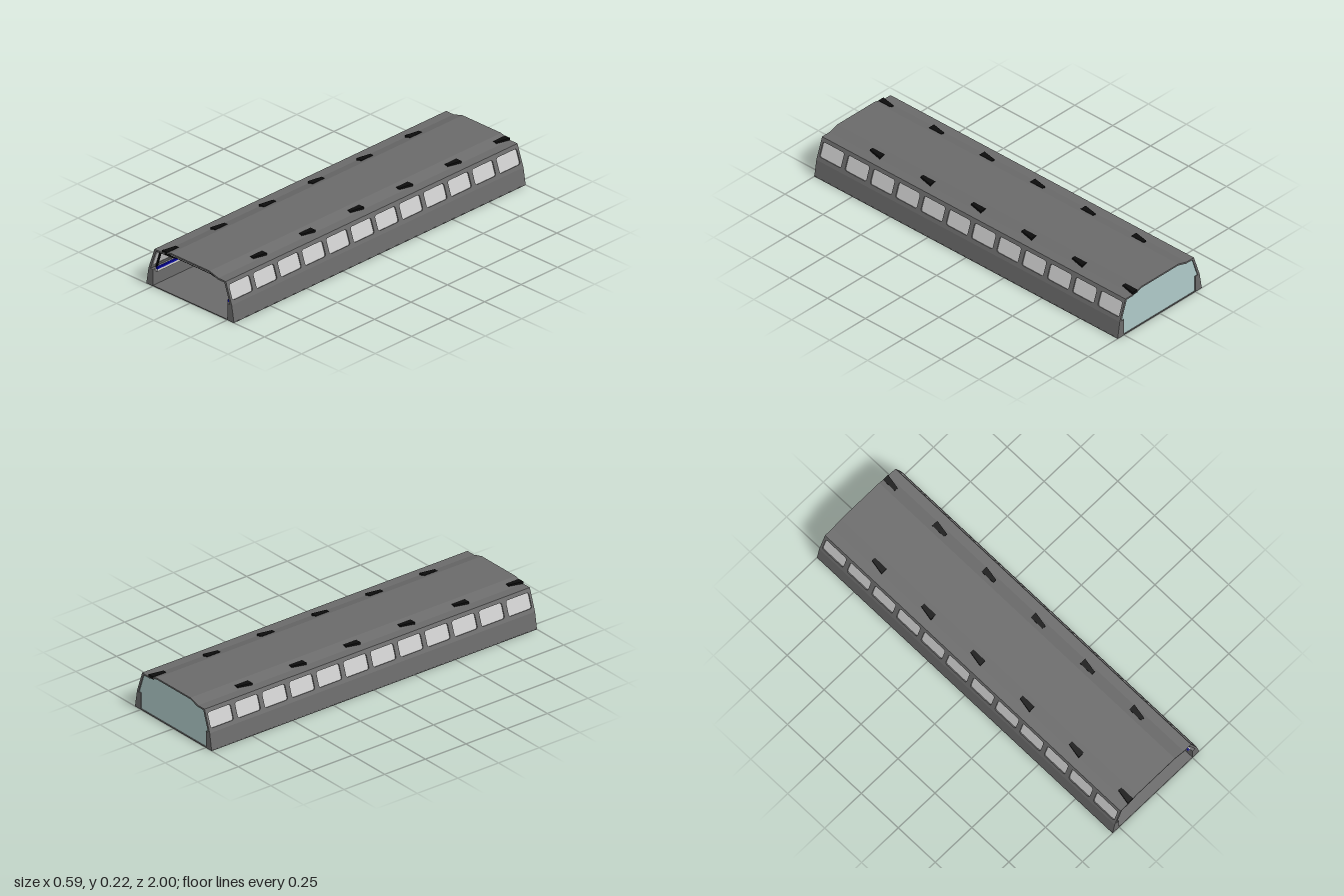
import * as THREE from 'three';

const mat = (name, color, side = THREE.FrontSide) => {
  const m = new THREE.MeshStandardMaterial({ color, side });
  m.name = name;
  return m;
};

export function createModel() {
  const shellGrey = mat('shell grey', 0x6a6a6a);
  const lightGrey = mat('light grey', 0xcacaca);
  const teal = mat('pale teal', 0xaecac8);
  const black = mat('black', 0x0c0c0c);
  const blue = mat('deep blue', 0x0a0aa8);
  const slate = mat('slate', 0x3c404c);
  const ochre = mat('ochre', 0x8a7434);

  const model = new THREE.Group();
  model.name = 'hall';

  const add = (parent, name, geo, material) => {
    const m = new THREE.Mesh(geo, material);
    m.name = name;
    parent.add(m);
    return m;
  };
  const box = (parent, name, material, x0, x1, y0, y1, z0, z1) => {
    const m = add(parent, name, new THREE.BoxGeometry(x1 - x0, y1 - y0, z1 - z0), material);
    m.position.set((x0 + x1) / 2, (y0 + y1) / 2, (z0 + z1) / 2);
    return m;
  };
  const poly = (pts) => new THREE.Shape(pts.map((p) => new THREE.Vector2(p[0], p[1])));
  const prism = (shape, z0, z1) => {
    const g = new THREE.ExtrudeGeometry(shape, { depth: z1 - z0, bevelEnabled: false });
    return g.translate(0, 0, z0);
  };
  // Straight square bar between two points in a plane of constant z
  const bar = (parent, name, material, a, b, z, w = 0.006) => {
    const dx = b[0] - a[0], dy = b[1] - a[1];
    const m = add(parent, name, new THREE.BoxGeometry(Math.hypot(dx, dy), w, w), material);
    m.position.set((a[0] + b[0]) / 2, (a[1] + b[1]) / 2, z);
    m.rotation.z = Math.atan2(dy, dx);
  };
  const roundedRect = (x0, x1, y0, y1, r, Type) => {
    const s = new Type();
    s.moveTo(x0 + r, y0);
    s.lineTo(x1 - r, y0);
    s.quadraticCurveTo(x1, y0, x1, y0 + r);
    s.lineTo(x1, y1 - r);
    s.quadraticCurveTo(x1, y1, x1 - r, y1);
    s.lineTo(x0 + r, y1);
    s.quadraticCurveTo(x0, y1, x0, y1 - r);
    s.lineTo(x0, y0 + r);
    s.quadraticCurveTo(x0, y0, x0 + r, y0);
    return s;
  };

  // Floor and roof
  box(model, 'floor', shellGrey, -0.295, 0.295, 0, 0.004, -1, 1);
  const top = [[0.24, 0.205], [0.19, 0.205], [0.13, 0.222]];
  const under = [[0.13, 0.214], [0.185, 0.197], [0.23, 0.196]];
  const flip = (pts) => pts.map(([x, y]) => [-x, y]).reverse();
  add(model, 'roof', prism(poly([...top, ...flip(top), ...flip(under), ...under]), -1, 1), shellGrey);

  // Closed rear end
  const end = [[0.285, 0.004], [0.271, 0.09], [0.232, 0.199], [0.187, 0.2], [0.13, 0.216]];
  add(model, 'rearWall', prism(poly([...end, ...flip(end)]), -0.995, -0.988), teal);

  // One long side; the other is the same side turned half round
  const slope = Math.hypot(0.04, 0.115);
  const makeSide = () => {
    const side = new THREE.Group();
    side.name = 'longSide';
    add(side, 'lowerWall', prism(poly([[0.25, 0], [0.295, 0], [0.28, 0.09], [0.25, 0.09]]), -1, 1), shellGrey);

    // Sloping upper wall with window openings
    const wall = new THREE.Group();
    wall.name = 'upperWall';
    const basis = new THREE.Matrix4().makeBasis(
      new THREE.Vector3(0, 0, -1),
      new THREE.Vector3(-0.04 / slope, 0.115 / slope, 0),
      new THREE.Vector3(0.115 / slope, 0.04 / slope, 0)
    );
    wall.quaternion.setFromRotationMatrix(basis);
    wall.position.set(0.28, 0.09, 0);
    const sheet = poly([[-1, 0], [1, 0], [1, slope], [-1, slope]]);
    for (let i = 0; i < 12; i++) {
      const c = -1 + (i + 0.5) / 6;
      sheet.holes.push(roundedRect(c - 0.07, c + 0.07, 0.021, 0.101, 0.014, THREE.Path));
      const pane = roundedRect(c - 0.072, c + 0.072, 0.019, 0.103, 0.014, THREE.Shape);
      add(wall, 'windowPane', prism(pane, -0.01, -0.006), lightGrey);
    }
    add(wall, 'windowWall', prism(sheet, -0.012, 0), shellGrey);
    side.add(wall);

    // Roof vents
    for (let i = 0; i < 6; i++) {
      const g = prism(poly([[0.155, 0.04], [0.155, -0.04], [0.175, -0.04], [0.19, 0.04]]), 0, 0.015);
      g.rotateX(-Math.PI / 2);
      add(side, 'roofVent', g, black).position.set(0, 0.202, -0.96 + i / 3);
    }

    // Ledge and rail along the wall
    box(side, 'wallLedge', lightGrey, 0.235, 0.262, 0.078, 0.09, -0.985, 0.985);
    box(side, 'wallRail', blue, 0.235, 0.245, 0.09, 0.1, -0.985, 0.985);
    return side;
  };
  const left = makeSide(), right = makeSide();
  right.rotation.y = Math.PI;
  model.add(left, right);

  // Galleries, columns and brackets on both sides
  for (const s of [1, -1]) {
    const span = (a, b) => (s > 0 ? [a, b] : [-b, -a]);
    box(model, 'gallery', lightGrey, ...span(0.12, 0.25), 0.076, 0.09, -0.985, 0.3);
    box(model, 'galleryBeam', slate, ...span(0.128, 0.25), 0.062, 0.076, -0.985, -0.9);
    box(model, 'galleryRail', blue, ...span(0.12, 0.24), 0.09, 0.1, 0.29, 0.3);
    for (let i = 0; i < 4; i++) {
      const z = 0.3 - i * 0.4;
      box(model, 'column', lightGrey, ...span(0.1, 0.12), 0.004, 0.205, z - 0.01, z + 0.01);
      box(model, 'columnBack', slate, ...span(0.091, 0.129), 0.004, 0.205, z - 0.03, z - 0.01);
      const p = [[0.2, 0.075], [0.165, 0.004], [0.135, 0.075], [0.12, 0.004], [0.15, 0.04], [0.182, 0.04]];
      for (const [a, b] of [[0, 1], [0, 4], [2, 3], [2, 1], [4, 5], [4, 1]]) {
        bar(model, 'bracketBar', shellGrey, [s * p[a][0], p[a][1]], [s * p[b][0], p[b][1]], z);
      }
    }
    // Dark lining just inside the open end
    for (const [a, b] of [[[0.256, 0.09], [0.228, 0.182]], [[0.228, 0.182], [0.14, 0.186]], [[0.14, 0.186], [0.12, 0.191]]]) {
      bar(model, 'endLining', black, [s * a[0], a[1]], [s * b[0], b[1]], 0.97, 0.008);
    }
  }

  // Bridge between the galleries
  box(model, 'bridge', lightGrey, -0.12, 0.12, 0.076, 0.09, -0.1, 0.3);
  box(model, 'bridgeBeam', slate, -0.09, 0.09, 0.062, 0.076, -0.985, -0.9);
  for (let i = 0; i < 12; i++) {
    const x = -0.092 + i * 0.0167;
    box(model, 'bridgeRail', blue, x - 0.006, x + 0.006, 0.09, 0.1, 0.29, 0.3);
  }

  // Ceiling cross beams
  for (let i = 0; i < 6; i++) {
    const z = 0.97 - i * 0.38;
    box(model, 'crossBeam', lightGrey, -0.228, 0.228, 0.194, 0.199, z - 0.006, z + 0.006);
    box(model, 'crossBeamTrim', black, -0.228, 0.228, 0.19, 0.194, z - 0.006, z + 0.006);
  }

  // Hanging signs and small lamps
  for (const [x0, x1] of [[-0.11, -0.055], [-0.035, 0.005], [0.04, 0.09]]) {
    box(model, 'hangingSign', blue, x0, x1, 0.178, 0.19, 0.2, 0.206);
  }
  for (const x of [-0.08, -0.065, -0.006, 0.067, 0.077, 0.084]) {
    box(model, 'hangingLamp', ochre, x - 0.002, x + 0.002, 0.137, 0.152, 0.1, 0.104);
  }
  return model;
}
